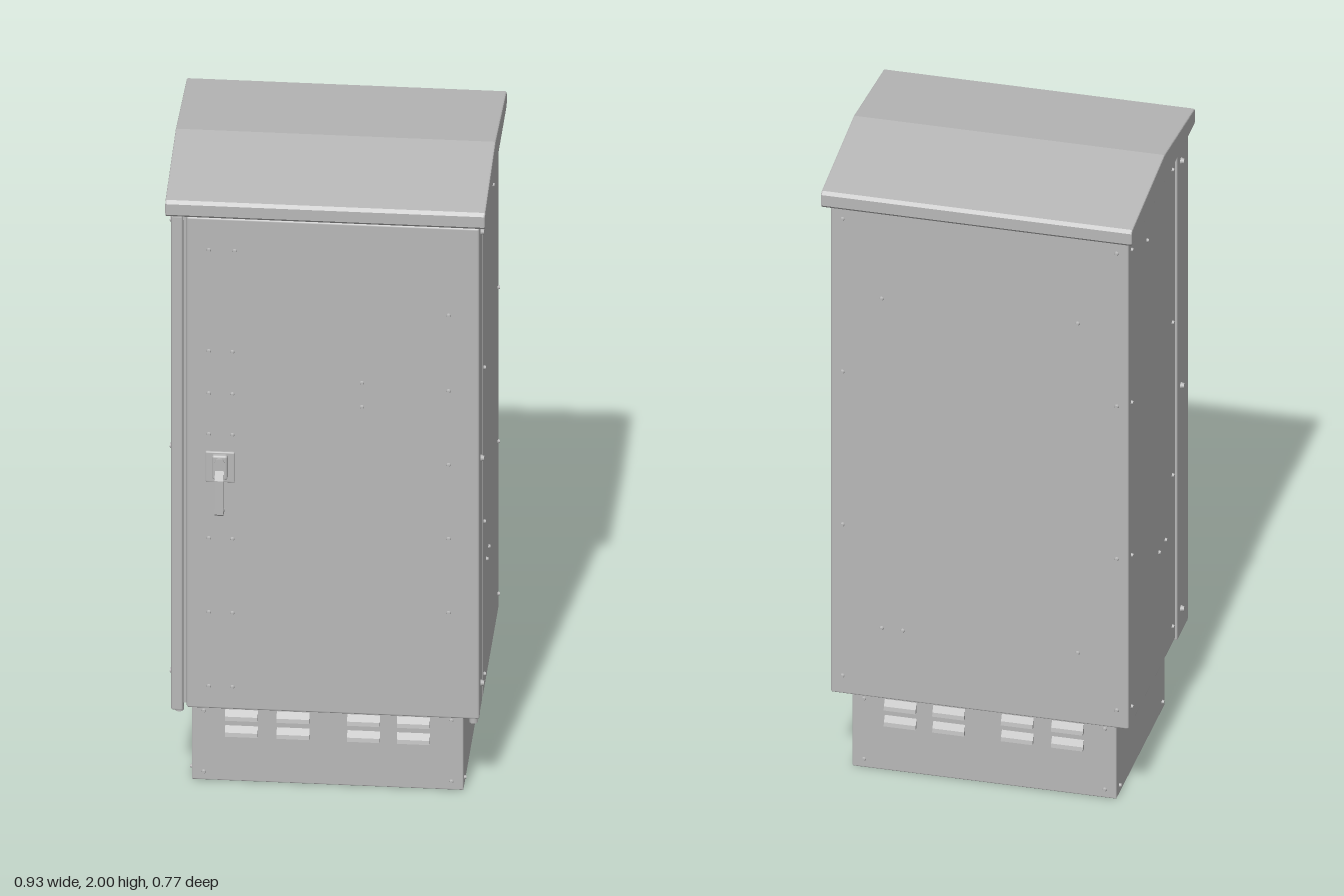
import * as THREE from 'three';
import { RoundedBoxGeometry } from 'three/addons/geometries/RoundedBoxGeometry.js';

const paint = new THREE.MeshStandardMaterial({ color: 0xb8b8b8 });
paint.name = 'light grey paint';

function add(parent, name, geometry) {
  const mesh = new THREE.Mesh(geometry, paint);
  mesh.name = name;
  parent.add(mesh);
  return mesh;
}

// Box given by its limits on each axis, with an optional edge radius
function box(parent, name, [x0, x1], [y0, y1], [z0, z1], r = 0) {
  const s = [x1 - x0, y1 - y0, z1 - z0];
  const g = r ? new RoundedBoxGeometry(...s, 2, r) : new THREE.BoxGeometry(...s);
  g.translate((x0 + x1) / 2, (y0 + y1) / 2, (z0 + z1) / 2);
  return add(parent, name, g);
}

// Side profile of [z, y] points, extruded along x and centred on x
function profile(points, width, x = 0, bevel = 0) {
  const shape = new THREE.Shape(points.map(([z, y]) => new THREE.Vector2(z, y)));
  const depth = width - 2 * bevel;
  const g = new THREE.ExtrudeGeometry(shape, {
    depth, bevelEnabled: bevel > 0, bevelSize: bevel, bevelThickness: bevel,
    bevelOffset: -bevel, bevelSegments: 2,
  });
  return g.translate(0, 0, -depth / 2).rotateY(-Math.PI / 2).translate(x, 0, 0);
}

// Small domed fastener standing on a face: axis 'x' or 'z', side +1 or -1
function bolt(parent, x, y, z, axis, side, r = 0.007) {
  const g = new THREE.CylinderGeometry(r * 0.65, r, r * 1.1, 10).translate(0, r * 0.4, 0);
  if (axis === 'x') g.rotateZ(-side * Math.PI / 2);
  else g.rotateX(side * Math.PI / 2);
  add(parent, 'bolt', g.translate(x, y, z));
}

export function createModel() {
  const model = new THREE.Group();
  model.name = 'outdoorCabinet';
  const group = (name) => {
    const g = new THREE.Group();
    g.name = name;
    model.add(g);
    return g;
  };

  // Plinth
  const plinth = group('plinth');
  box(plinth, 'plinthBox', [-0.395, 0.395], [0, 0.28], [-0.29, 0.275], 0.004);
  for (const side of [1, -1]) {
    const face = side > 0 ? 0.275 : -0.29;
    // Louvre hoods, open side down
    for (const x of [-0.25, -0.1, 0.105, 0.25]) {
      for (const y of [0.153, 0.206]) {
        const pts = [[face - side * 0.003, y], [face + side * 0.014, y],
          [face + side * 0.011, y + 0.012], [face - side * 0.003, y + 0.036]];
        add(plinth, 'louvre', profile(pts, 0.095, x));
      }
    }
    for (const y of [0.028, 0.23]) {
      for (const x of [-0.36, 0.36]) bolt(plinth, x, y, face, 'z', side);
      for (const z of [-0.255, 0.245]) bolt(plinth, side * 0.395, y, z, 'x', side);
    }
  }

  // Main body, recessed core and collar below the roof
  const body = group('body');
  box(body, 'bodyShell', [-0.445, 0.445], [0.27, 1.895], [-0.345, 0.203], 0.005);
  box(body, 'core', [-0.43, 0.43], [0.275, 1.89], [0.19, 0.315]);
  box(body, 'roofCollar', [-0.43, 0.43], [1.88, 1.91], [-0.31, 0.325]);

  // Front frame posts
  box(body, 'rightPost', [-0.45, -0.416], [0.26, 1.897], [0.207, 0.335], 0.005);
  box(body, 'leftPost', [0.4, 0.443], [0.26, 1.897], [0.207, 0.294], 0.005);
  for (const side of [1, -1]) {
    for (const y of [0.345, 1.09, 1.84]) {
      bolt(body, side > 0 ? 0.443 : -0.45, y, 0.25, 'x', side, 0.011);
    }
    const foot = new THREE.CylinderGeometry(0.013, 0.013, 0.025, 12);
    add(body, 'hingePin', foot.translate(side * 0.428, 0.263, 0.312));
  }

  // Side panel bolts
  for (const side of [1, -1]) {
    const spots = [[-0.13, 1.785], [0.085, 0.665], [0.01, 0.665]];
    for (const y of [0.33, 0.835, 1.345, 1.855]) spots.push([0.168, y], [-0.312, y]);
    for (const [z, y] of spots) bolt(body, side * 0.445, y, z, 'x', side);
  }

  // Back panel bolts
  const backSpots = [[0.293, 1.605], [-0.293, 1.605], [0.293, 0.505], [0.23, 0.505], [-0.293, 0.505]];
  for (const y of [0.33, 0.835, 1.345, 1.855]) backSpots.push([0.41, y], [-0.41, y]);
  for (const [x, y] of backSpots) bolt(body, x, y, -0.345, 'z', -1);

  // Door
  const door = group('door');
  box(door, 'doorPanel', [-0.405, 0.446], [0.27, 1.895], [0.298, 0.335], 0.006);
  const doorSpots = [[-0.34, 1.79], [-0.265, 1.79], [0.105, 1.29], [0.105, 1.37]];
  for (const y of [0.345, 0.59, 0.835, 1.18, 1.315, 1.455]) doorSpots.push([-0.34, y], [-0.272, y]);
  for (const y of [0.62, 0.865, 1.11, 1.355, 1.605]) doorSpots.push([0.357, y]);
  for (const [x, y] of doorSpots) bolt(door, x, y, 0.335, 'z', 1);

  // Handle: backplate, lock housing and a bent lever
  const handle = group('handle');
  box(handle, 'backplate', [-0.35, -0.264], [1.025, 1.125], [0.333, 0.343], 0.004);
  box(handle, 'lockHousing', [-0.33, -0.284], [1.04, 1.12], [0.338, 0.358], 0.007);
  const lever = [[0.335, 1.075], [0.352, 1.075], [0.385, 1.052], [0.387, 0.942], [0.382, 0.936],
    [0.338, 0.93], [0.338, 0.938], [0.374, 0.944], [0.374, 1.042], [0.352, 1.055], [0.335, 1.055]];
  add(handle, 'lever', profile(lever, 0.026, -0.307));
  const lock = new THREE.CylinderGeometry(0.014, 0.014, 0.012, 16).rotateX(Math.PI / 2);
  add(handle, 'keyLock', lock.translate(-0.307, 1.1, 0.36));

  // Gabled roof with a ridge along x
  const roof = group('roof');
  const section = [[-0.387, 1.915], [-0.378, 1.906], [0.353, 1.906], [0.362, 1.915],
    [0.362, 1.95], [0.352, 1.959], [0, 2.008], [-0.377, 1.959], [-0.387, 1.95]];
  section[6][1] = 2.0;
  add(roof, 'roofCap', profile(section, 0.93, 0, 0.004));

  return model;
}
